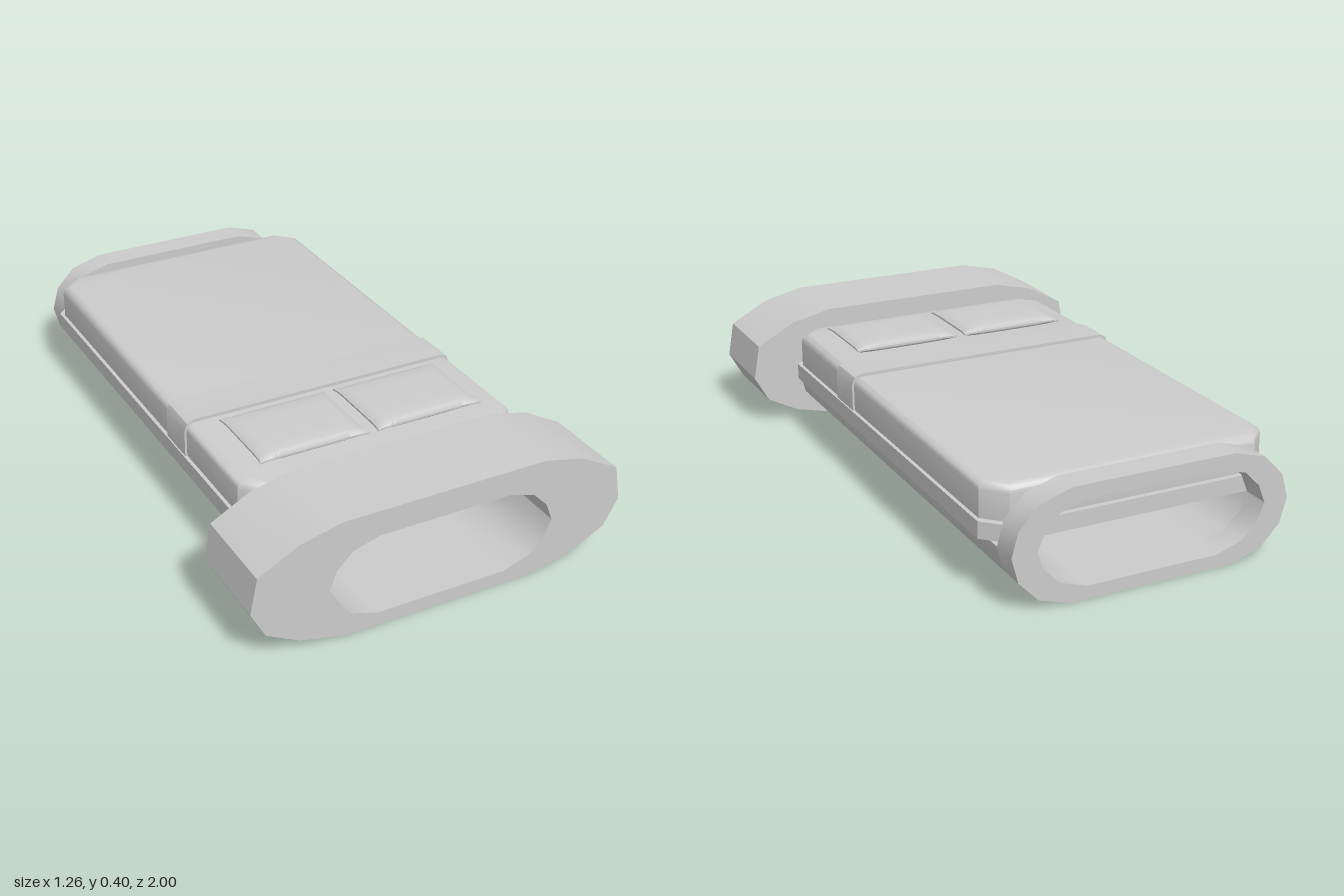
import * as THREE from 'three';
import { toCreasedNormals } from 'three/addons/utils/BufferGeometryUtils.js';

const material = new THREE.MeshStandardMaterial({ color: 0xcccccc, side: THREE.DoubleSide });

// Right-hand profiles, listed from the bottom to the top
const COLLAR = [[0.33, 0], [0.475, 0.035], [0.583, 0.092], [0.631, 0.18], [0.609, 0.297], [0.478, 0.368], [0.34, 0.4]];
const TUBE = [[0.27, 0], [0.375, 0.032], [0.44, 0.1], [0.462, 0.18], [0.44, 0.26], [0.375, 0.328], [0.27, 0.36]];
const HOLE = [[0.22, 0.043], [0.308, 0.072], [0.357, 0.12], [0.381, 0.18], [0.357, 0.24], [0.308, 0.29], [0.22, 0.316]];

const points = (list) => list.map(([x, y]) => new THREE.Vector2(x, y));
const mirror = (list) => list.map(([x, y]) => [-x, y]).reverse();
const closed = (list) => points([...list, ...mirror(list)]);

function add(group, name, geometry, crease = 0.6) {
  const mesh = new THREE.Mesh(toCreasedNormals(geometry, crease), material);
  mesh.name = name;
  group.add(mesh);
  return mesh;
}

// Extrudes a shape along z from z0 to z1
function alongZ(shape, z0, z1) {
  return new THREE.ExtrudeGeometry(shape, { depth: z1 - z0, bevelEnabled: false }).translate(0, 0, z0);
}

function ring(outer) {
  const shape = new THREE.Shape(closed(outer));
  shape.holes.push(new THREE.Path(closed(HOLE)));
  return shape;
}

// Plate with clipped corners and an optional rounded edge, between y0 and y1
function plate(halfX, z0, z1, clip, y0, y1, bevel = 0) {
  const hx = halfX - bevel, a = -z1 + bevel, b = -z0 - bevel;
  const shape = new THREE.Shape(points([
    [-hx + clip, a], [hx - clip, a], [hx, a + clip], [hx, b - clip],
    [hx - clip, b], [-hx + clip, b], [-hx, b - clip], [-hx, a + clip],
  ]));
  return new THREE.ExtrudeGeometry(shape, {
    depth: y1 - y0 - 2 * bevel, bevelEnabled: bevel > 0, bevelSize: bevel, bevelThickness: bevel, bevelSegments: 4,
  }).rotateX(-Math.PI / 2).translate(0, y0 + bevel, 0);
}

// Cushion: puffed in the middle, pinched along the edges, with pointed corners
function pillow(width, depth) {
  const geometry = new THREE.BoxGeometry(2, 2, 2, 24, 1, 24);
  const pos = geometry.attributes.position;
  for (let i = 0; i < pos.count; i++) {
    const u = pos.getX(i), v = pos.getZ(i), side = Math.sign(pos.getY(i));
    const pinchX = 1 - 0.035 * (1 - v ** 8);
    const pinchZ = 1 - 0.045 * (1 - u ** 8);
    const puff = Math.pow(Math.max(0, (1 - u ** 4) * (1 - v ** 4)), 0.4);
    pos.setXYZ(i, u * pinchX * width / 2, side * (0.003 + 0.016 * puff), v * pinchZ * depth / 2);
  }
  return geometry;
}

export function createModel() {
  const model = new THREE.Group();
  model.name = 'sleepingPod';

  // Hollow shell: wide head collar, open lower trough, foot ring
  add(model, 'headCollar', alongZ(ring(COLLAR), 0.7, 1));
  add(model, 'footRing', alongZ(ring(TUBE), -1, -0.91));
  const outer = TUBE.slice(0, 4), inner = HOLE.slice(0, 4);
  const trough = [...mirror(outer), ...outer, ...inner.slice().reverse(), ...mirror(inner).reverse()];
  add(model, 'trough', alongZ(new THREE.Shape(points(trough)), -0.91, 0.7));

  // Bed base and mattress
  add(model, 'bedBase', plate(0.49, -0.91, 0.695, 0.065, 0.182, 0.236));
  add(model, 'mattress', plate(0.478, -0.892, 0.678, 0.05, 0.2, 0.35, 0.028), 0.7);

  // Blanket fold wrapped over the mattress
  const fold = closed([[0.485, 0.225], [0.485, 0.325], [0.475, 0.35], [0.45, 0.361]]);
  add(model, 'blanketFold', alongZ(new THREE.Shape(fold), 0.112, 0.25));

  // Pair of pillows
  for (const side of [1, -1]) {
    const mesh = add(model, side > 0 ? 'leftPillow' : 'rightPillow', pillow(0.374, 0.284), 0.9);
    mesh.position.set(side * 0.202, 0.368, 0.442);
  }
  return model;
}
